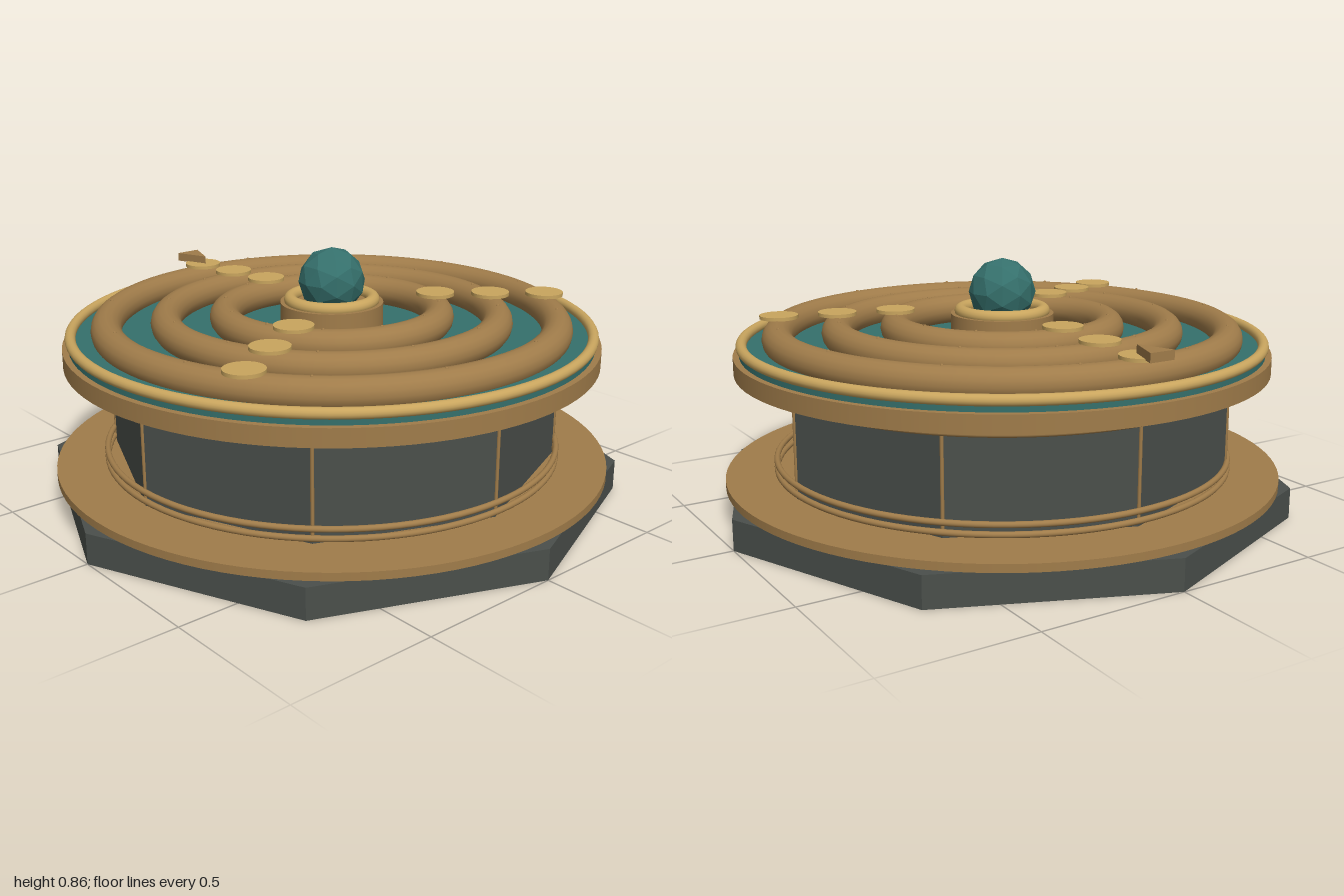
import * as THREE from 'three';

const mat = (name, color, flatShading = false) => {
  const m = new THREE.MeshStandardMaterial({ color, flatShading });
  m.name = name;
  return m;
};

export function createModel() {
  const group = new THREE.Group();
  const stone = mat('dark stone', 0x4a4f4b, true);
  const bronze = mat('bronze', 0xa07c4a);
  const gold = mat('pale gold', 0xc9a55e);
  const teal = mat('teal', 0x35706c);
  const gem = mat('teal gem', 0x35706c, true);

  const add = (name, geometry, material, x = 0, y = 0, z = 0) => {
    const mesh = new THREE.Mesh(geometry, material);
    mesh.name = name;
    mesh.position.set(x, y, z);
    group.add(mesh);
    return mesh;
  };
  // Upright cylinder between two heights
  const disc = (name, r, y0, y1, material, sides = 96) =>
    add(name, new THREE.CylinderGeometry(r, r, y1 - y0, sides), material, 0, (y0 + y1) / 2, 0);
  // Horizontal ring
  const ring = (name, r, tube, y, material) =>
    add(name, new THREE.TorusGeometry(r, tube, 16, 96).rotateX(Math.PI / 2), material, 0, y, 0);

  // Octagonal plinth, plate and drum
  disc('plinth', 1, 0, 0.105, stone, 8);
  disc('basePlate', 0.96, 0.105, 0.132, bronze);
  disc('drum', 0.78, 0.13, 0.5, stone, 8);
  for (const y of [0.152, 0.183, 0.458, 0.484]) ring('drumBand', 0.785, 0.01, y, bronze);

  // Thin rods on the drum corners
  for (let i = 0; i < 8; i++) {
    const a = i * Math.PI / 4;
    add('cornerRod', new THREE.CylinderGeometry(0.006, 0.006, 0.34, 8), bronze,
      0.779 * Math.sin(a), 0.315, 0.779 * Math.cos(a));
  }

  // Dial
  disc('dialRim', 0.916, 0.493, 0.553, bronze);
  disc('dialFace', 0.895, 0.553, 0.576, teal);
  ring('dialTrim', 0.887, 0.018, 0.586, gold);

  // Raised dial rings, each with three markers and twelve small studs
  [[0.767, 0.602], [0.567, 0.612], [0.367, 0.622]].forEach(([r, y]) => {
    ring('dialRing', r, 0.052, y, bronze);
    for (let i = 0; i < 3; i++) {
      const a = Math.PI + i * Math.PI * 2 / 3;
      add('marker', new THREE.CylinderGeometry(0.066, 0.066, 0.012, 32), gold,
        r * Math.sin(a), y + 0.056, r * Math.cos(a));
    }
    for (let i = 0; i < 12; i++) {
      const a = (i + 0.5) * Math.PI / 6;
      add('stud', new THREE.SphereGeometry(0.006, 8, 6), bronze,
        r * Math.sin(a), y + 0.05, r * Math.cos(a));
    }
  });

  // Hub and faceted ball
  disc('hub', 0.177, 0.57, 0.668, bronze, 64);
  ring('hubCollar', 0.142, 0.022, 0.676, gold);
  add('ball', new THREE.IcosahedronGeometry(0.115, 1), gem, 0, 0.741, 0);

  // Triangular pointer at the back, tip facing inwards
  const tri = new THREE.Shape([
    new THREE.Vector2(-0.045, 0.868),
    new THREE.Vector2(0, 0.748),
    new THREE.Vector2(0.045, 0.868),
  ]);
  const pointer = new THREE.ExtrudeGeometry(tri, { depth: 0.03, bevelEnabled: false });
  add('pointer', pointer.rotateX(-Math.PI / 2), bronze, 0, 0.661, 0);

  return group;
}
